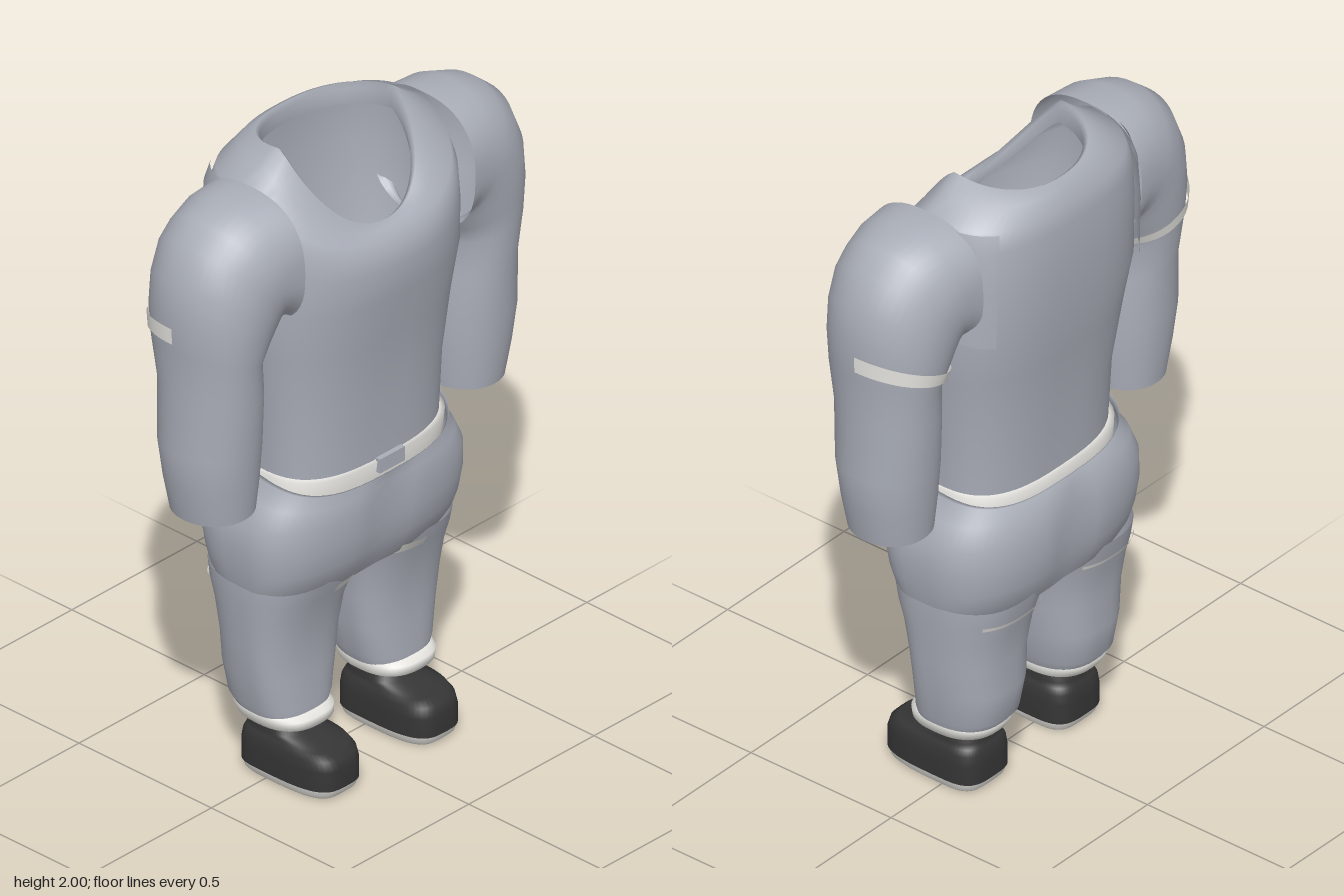
import * as THREE from 'three';

const mat = (name, color) => {
  const m = new THREE.MeshStandardMaterial({ color, side: THREE.DoubleSide });
  m.name = name;
  return m;
};

// Ring lying flat at height y; yFront / yBack let it dip or rise at front and back.
const flat = (y, rx, zf, zb, o = {}) => ({
  cx: o.cx || 0, cy: y, ux: rx, uy: 0, zf, zb, e: o.e || 3, eb: o.eb || o.e || 3,
  df: o.yFront === undefined ? 0 : o.yFront - y,
  db: o.yBack === undefined ? 0 : o.yBack - y,
  k: o.k || 1, dent: o.dent || 0,
});

// Ring spanning from an inner to an outer point in the x-y plane.
const tilted = (xi, yi, xo, yo, zf, zb, e = 2.1) => ({
  cx: (xi + xo) / 2, cy: (yi + yo) / 2, ux: (xo - xi) / 2, uy: (yo - yi) / 2,
  zf, zb, e, eb: e, df: 0, db: 0, k: 1, dent: 0,
});

const power = (v, e) => Math.sign(v) * Math.pow(Math.abs(v), 2 / e);

function ringPoint(r, t) {
  let c = Math.cos(t), s = Math.sin(t);
  if (Math.abs(c) < 1e-9) c = 0;
  if (Math.abs(s) < 1e-9) s = 0;
  const e = s > 0 ? r.e : r.eb;
  const u = power(c, e), w = power(s, e);
  const lift = (s > 0 ? r.df : r.db) * Math.pow(Math.abs(s), r.k);
  const x = r.cx + r.ux * u;
  const groove = 1 - r.dent * Math.exp(-((x / 0.06) ** 2));
  return [x, r.cy + r.uy * u + lift, w * (s > 0 ? r.zf : r.zb) * groove];
}

// Skin through a list of rings, closed all round or over an arc only.
function loft(rings, { from = 0, to = Math.PI * 2, cap = false, n = 48 } = {}) {
  const pos = [], idx = [];
  const closed = to - from > 6.28;
  const cols = closed ? n : n + 1;
  for (const r of rings)
    for (let j = 0; j < cols; j++) pos.push(...ringPoint(r, from + ((to - from) * j) / n));
  for (let i = 0; i < rings.length - 1; i++)
    for (let j = 0; j < n; j++) {
      const a = i * cols + j, b = i * cols + ((j + 1) % cols);
      idx.push(a, a + cols, b, b, a + cols, b + cols);
    }
  if (cap) {
    const base = pos.length / 3;
    for (let j = 0; j < n; j++) pos.push(...pos.slice(j * 3, j * 3 + 3));
    pos.push(rings[0].cx, rings[0].cy, 0);
    for (let j = 0; j < n; j++) idx.push(base + n, base + j, base + ((j + 1) % n));
  }
  const g = new THREE.BufferGeometry();
  g.setAttribute('position', new THREE.Float32BufferAttribute(pos, 3));
  g.setIndex(idx);
  g.computeVertexNormals();
  return g;
}

export function createModel() {
  const model = new THREE.Group();
  const cloth = mat('greyCloth', 0xaaaeb8);
  const light = mat('offWhite', 0xf0efea);
  const dark = mat('darkLeather', 0x353535);
  const add = (parent, name, geo, m) => {
    const mesh = new THREE.Mesh(geo, m);
    mesh.name = name;
    parent.add(mesh);
  };

  // Shirt body, rising to a scooped neckline with a folded inner edge
  add(model, 'shirtBody', loft([
    flat(1.01, 0.315, 0.192, 0.195, { yFront: 0.995, yBack: 0.98, e: 2.8 }),
    flat(1.2, 0.328, 0.2, 0.207, { e: 2.7 }),
    flat(1.4, 0.36, 0.225, 0.235, { e: 2.5, eb: 2.7 }),
    flat(1.55, 0.382, 0.255, 0.258, { e: 2.4, eb: 2.8 }),
    flat(1.72, 0.378, 0.263, 0.266, { e: 2.4, eb: 2.8, yFront: 1.65 }),
    flat(1.85, 0.372, 0.25, 0.264, { e: 2.5, eb: 2.8, yFront: 1.7 }),
    flat(1.915, 0.355, 0.232, 0.252, { e: 2.5, eb: 2.7, yFront: 1.73, yBack: 1.9 }),
    flat(1.955, 0.285, 0.212, 0.228, { e: 2.4, yFront: 1.745, yBack: 1.945 }),
    flat(2.0, 0.23, 0.19, 0.203, { e: 2.2, yFront: 1.755, yBack: 1.96, k: 1.1 }),
    flat(1.985, 0.217, 0.178, 0.19, { e: 2.2, yFront: 1.745, yBack: 1.95, k: 1.1 }),
    flat(1.93, 0.222, 0.183, 0.195, { e: 2.2, yFront: 1.71, yBack: 1.9, k: 1.1 }),
  ], { n: 64 }), cloth);

  // Trouser seat with a floor that has two leg openings
  const seatBottom = flat(0.632, 0.374, 0.152, 0.212, { e: 2.8, dent: 0.03 });
  add(model, 'trouserSeat', loft([
    seatBottom,
    flat(0.67, 0.385, 0.174, 0.23, { dent: 0.05 }),
    flat(0.72, 0.394, 0.195, 0.246, { dent: 0.07 }),
    flat(0.79, 0.403, 0.208, 0.256, { dent: 0.08 }),
    flat(0.87, 0.4, 0.212, 0.256, { dent: 0.08 }),
    flat(0.94, 0.37, 0.207, 0.24, { dent: 0.05, yFront: 0.92 }),
    flat(1.0, 0.335, 0.2, 0.215, { yFront: 0.945, yBack: 0.965 }),
    flat(1.025, 0.345, 0.203, 0.215, { yFront: 0.95, yBack: 0.97 }),
  ], { n: 64 }), cloth);
  const outline = (r, n = 48) => Array.from({ length: n }, (_, j) => {
    const p = ringPoint(r, (j / n) * Math.PI * 2);
    return new THREE.Vector2(p[0], p[2]);
  });
  const floor = new THREE.Shape(outline(seatBottom));
  for (const s of [1, -1])
    floor.holes.push(new THREE.Path(outline(flat(0, 0.15, 0.125, 0.175, { cx: 0.2 * s, e: 2.5 }))));
  add(model, 'crotchPanel', new THREE.ShapeGeometry(floor).rotateX(Math.PI / 2).translate(0, 0.633, 0), cloth);

  // Waistband and buckle
  add(model, 'belt', loft([
    flat(0.96, 0.325, 0.192, 0.205, { yFront: 0.92, yBack: 0.94 }),
    flat(1.015, 0.326, 0.203, 0.208, { yFront: 1.0, yBack: 0.995 }),
    flat(1.02, 0.31, 0.186, 0.19, { yFront: 1.003, yBack: 1.0 }),
  ]), light);
  add(model, 'buckle', new THREE.BoxGeometry(0.1, 0.045, 0.016).translate(0, 0.988, 0.204), cloth);

  for (const side of [1, -1]) {
    const half = new THREE.Group();
    half.name = side > 0 ? 'leftSide' : 'rightSide';
    half.scale.x = side;
    model.add(half);

    // Sleeve from hem to armhole
    add(half, 'sleeve', loft([
      tilted(0.385, 0.98, 0.61, 0.975, 0.125, 0.118),
      tilted(0.375, 1.08, 0.632, 1.08, 0.138, 0.13),
      tilted(0.37, 1.2, 0.648, 1.2, 0.15, 0.142),
      tilted(0.378, 1.35, 0.636, 1.39, 0.163, 0.152),
      tilted(0.392, 1.45, 0.65, 1.53, 0.172, 0.165),
      tilted(0.36, 1.5, 0.656, 1.64, 0.183, 0.178),
      tilted(0.34, 1.52, 0.645, 1.75, 0.189, 0.183),
      tilted(0.335, 1.53, 0.6, 1.85, 0.194, 0.188),
      tilted(0.335, 1.535, 0.54, 1.9, 0.197, 0.191),
      tilted(0.335, 1.535, 0.45, 1.93, 0.2, 0.194, 2.3),
      tilted(0.335, 1.53, 0.345, 1.93, 0.204, 0.197, 2.5),
    ]), cloth);
    add(half, 'sleeveBand', loft([
      tilted(0.378, 1.472, 0.657, 1.558, 0.18, 0.177),
      tilted(0.362, 1.495, 0.659, 1.608, 0.186, 0.184),
    ], { from: -Math.PI, to: 0 }), light);

    // Loose flap hugging the back of the armhole
    add(half, 'armholeFlap', loft([
      flat(1.58, 0.39, 0.27, 0.268, { yBack: 1.53 }),
      flat(1.72, 0.388, 0.273, 0.276),
      flat(1.85, 0.378, 0.26, 0.272),
      flat(1.915, 0.36, 0.24, 0.258, { yBack: 1.9 }),
    ], { from: -0.8, to: -0.1, n: 16 }), cloth);

    // Trouser leg, thigh strips and turned cuff
    const legRing = (y, xi, xo, zf, zb) =>
      flat(y, (xo - xi) / 2, zf, zb, { cx: (xi + xo) / 2, e: 2.5 });
    add(half, 'trouserLeg', loft([
      legRing(0.205, 0.09, 0.315, 0.1, 0.13),
      legRing(0.25, 0.07, 0.332, 0.103, 0.165),
      legRing(0.35, 0.05, 0.35, 0.1, 0.18),
      legRing(0.45, 0.04, 0.363, 0.106, 0.178),
      legRing(0.55, 0.028, 0.372, 0.125, 0.195),
      legRing(0.61, 0.012, 0.38, 0.146, 0.212),
      legRing(0.66, 0.002, 0.382, 0.16, 0.222),
    ]), cloth);
    add(half, 'frontThighStrip', loft([
      legRing(0.62, 0.01, 0.38, 0.158, 0.22),
      legRing(0.652, 0.005, 0.382, 0.177, 0.22),
    ], { from: 1.62, to: 2.3, n: 12 }), light);
    add(half, 'backThighStrip', loft([
      legRing(0.6, 0.01, 0.382, 0.15, 0.216),
      legRing(0.613, 0.008, 0.384, 0.15, 0.222),
    ], { from: -2.1, to: -0.9, n: 12 }), light);
    add(half, 'cuff', loft([
      legRing(0.21, 0.11, 0.295, 0.085, 0.1),
      legRing(0.187, 0.1, 0.302, 0.105, 0.115),
      legRing(0.195, 0.085, 0.318, 0.128, 0.135),
      legRing(0.222, 0.083, 0.325, 0.128, 0.15),
      legRing(0.232, 0.09, 0.32, 0.1, 0.14),
    ]), light);

    // Shoe with a lined ankle opening, on a pale sole
    const shoeRing = (y, rx, zf, zb, e = 3.4) => flat(y, rx, zf, zb, { cx: 0.197, e });
    add(half, 'sole', loft([
      shoeRing(0.003, 0.085, 0.205, 0.095),
      shoeRing(0.015, 0.096, 0.218, 0.107),
      shoeRing(0.035, 0.102, 0.224, 0.113),
    ], { cap: true }), light);
    add(half, 'shoe', loft([
      shoeRing(0.035, 0.103, 0.226, 0.115),
      shoeRing(0.095, 0.103, 0.226, 0.115),
      shoeRing(0.125, 0.099, 0.217, 0.111),
      shoeRing(0.143, 0.091, 0.192, 0.103),
      shoeRing(0.152, 0.084, 0.09, 0.096, 2.6),
      shoeRing(0.195, 0.085, 0.083, 0.096, 2.4),
      shoeRing(0.19, 0.072, 0.072, 0.084, 2.3),
      shoeRing(0.05, 0.056, 0.072, 0.068, 2.3),
    ]), dark);
  }
  return model;
}
